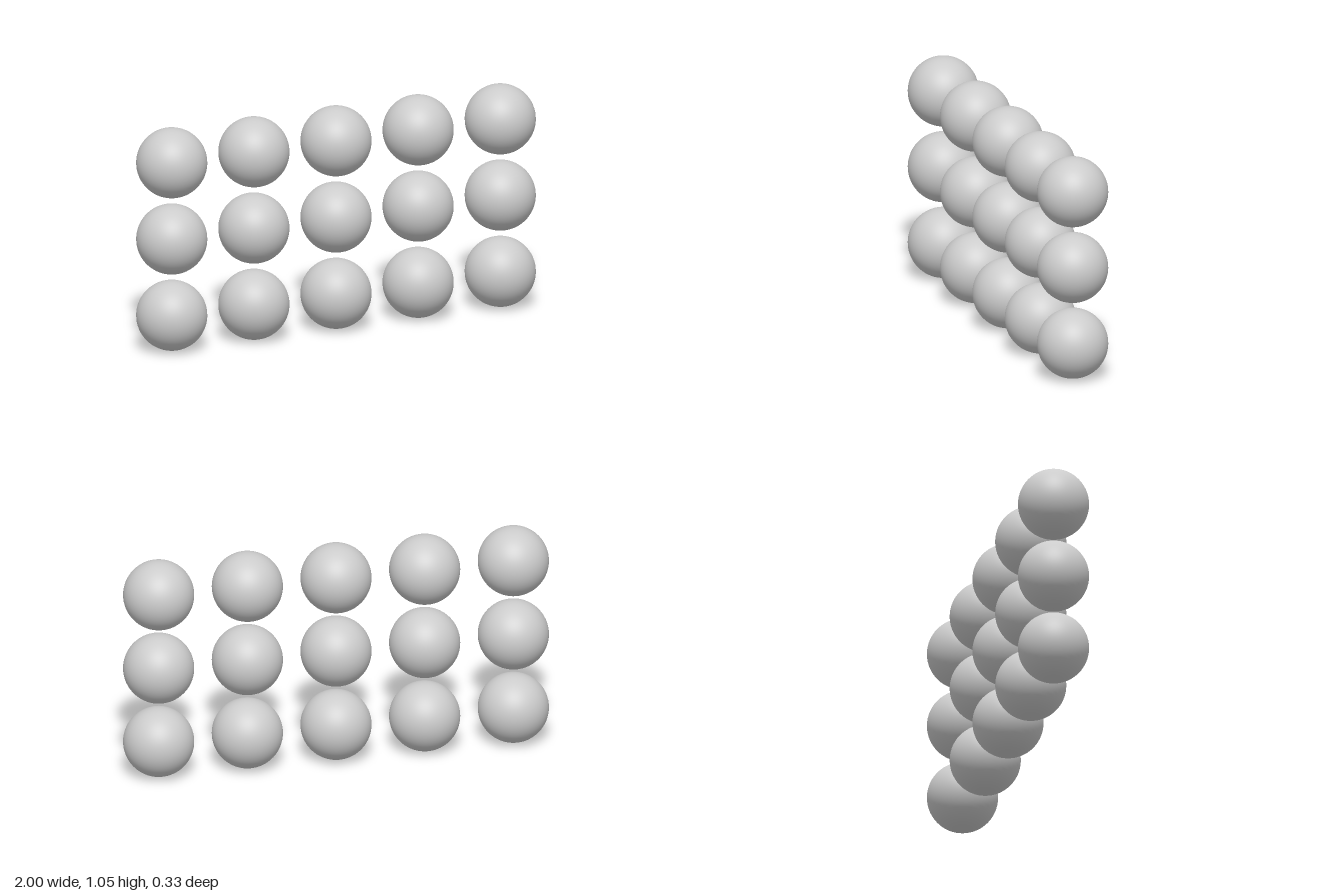
import * as THREE from 'three';

const RADIUS = 0.163;
const COLUMNS = 5;
const ROWS = 3;
const COLUMN_STEP = (2 - 2 * RADIUS) / (COLUMNS - 1);
const ROW_STEP = 0.3625;

export function createModel() {
  const model = new THREE.Group();
  model.name = 'sphereGrid';
  const material = new THREE.MeshStandardMaterial({ color: 0xcccccc });
  const geometry = new THREE.SphereGeometry(RADIUS, 64, 32);

  // Upright grid of separate balls, the lowest row resting on the ground
  for (let row = 0; row < ROWS; row++) {
    const rowGroup = new THREE.Group();
    rowGroup.name = `row${row + 1}`;
    rowGroup.position.y = RADIUS + row * ROW_STEP;
    for (let column = 0; column < COLUMNS; column++) {
      const ball = new THREE.Mesh(geometry, material);
      ball.name = `ball${column + 1}`;
      ball.position.x = (column - (COLUMNS - 1) / 2) * COLUMN_STEP;
      rowGroup.add(ball);
    }
    model.add(rowGroup);
  }
  return model;
}
